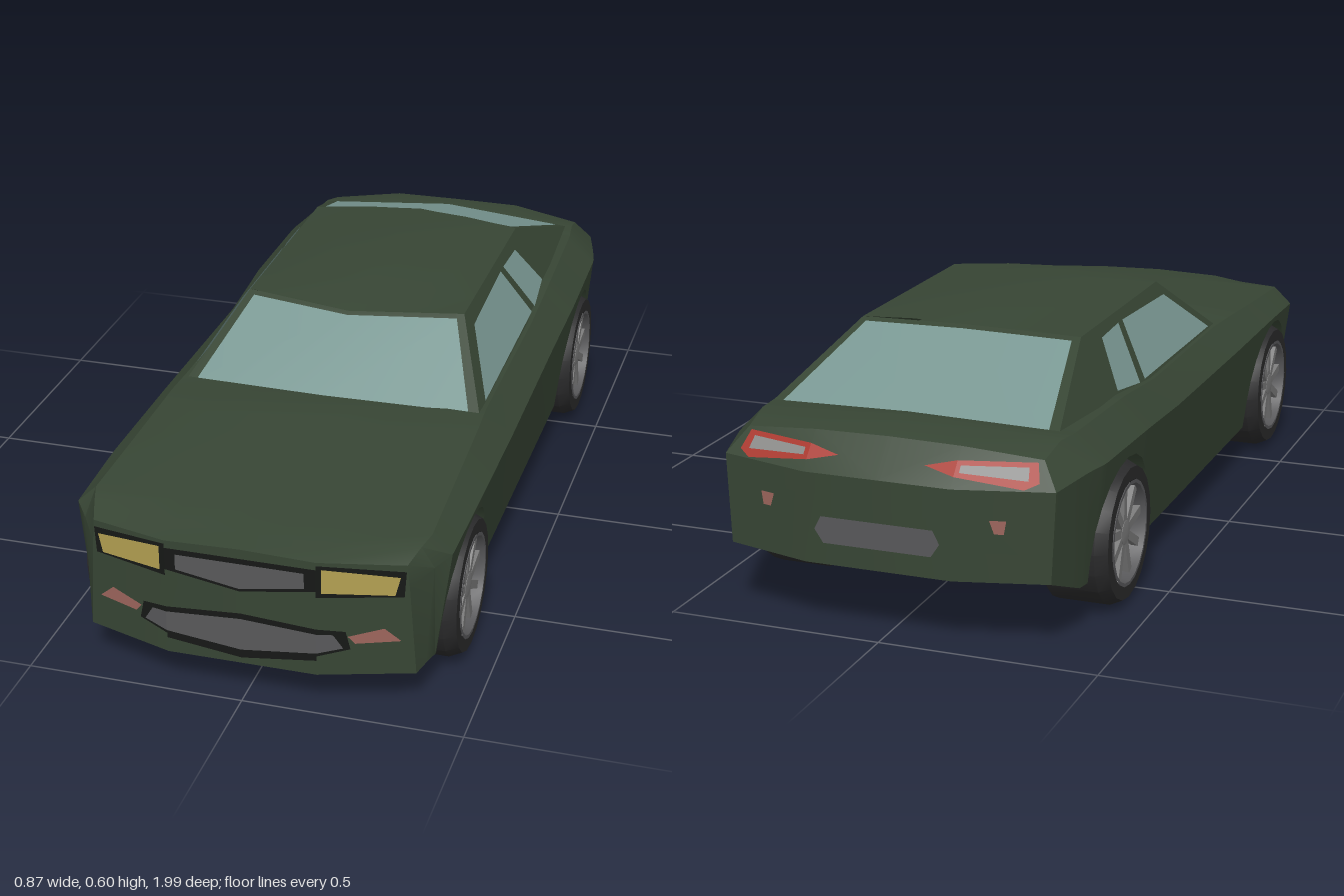
import * as THREE from 'three';
import { toCreasedNormals } from 'three/addons/utils/BufferGeometryUtils.js';

const mat = (color) => new THREE.MeshStandardMaterial({ color, side: THREE.DoubleSide });
const paint = mat(0x374534), glass = mat(0x7a9893), dark = mat(0x161816), grey = mat(0x58585a);
const tyreMat = mat(0x2a2a2b), rimMat = mat(0x7a7a7a), yellow = mat(0xb3a052);
const red = mat(0xa8382e), pink = mat(0x9c655c), lens = mat(0x8a8a88);

const WHEELS = [0.655, -0.59], ARCH = 0.178, AXLE = 0.168;

// Body stations: z, sill y, sill x, widest x, widest y, shoulder x, shoulder y, deck y, centre y, sweep, tilt
const KEYS = [
  [0.99, 0.095, 0.375, 0.36, 0.31, 0.355, 0.365, 0.375, 0.38, 0.06, 0],
  [0.93, 0.095, 0.385, 0.40, 0.335, 0.372, 0.385, 0.385, 0.388, 0.045, 0],
  [0.84, 0.095, 0.395, 0.43, 0.352, 0.385, 0.395, 0.398, 0.402, 0, 0],
  [0.62, 0.095, 0.40, 0.435, 0.36, 0.38, 0.405, 0.42, 0.425, 0, 0],
  [0.38, 0.095, 0.40, 0.435, 0.36, 0.375, 0.418, 0.44, 0.45, 0, 0],
  [0.28, 0.095, 0.40, 0.435, 0.36, 0.37, 0.42, 0.42, 0.42, 0, 0],
  [-0.22, 0.095, 0.40, 0.43, 0.36, 0.37, 0.42, 0.42, 0.42, 0, 0],
  [-0.45, 0.095, 0.40, 0.435, 0.375, 0.37, 0.44, 0.44, 0.44, 0, 0],
  [-0.75, 0.105, 0.395, 0.43, 0.38, 0.36, 0.442, 0.448, 0.452, 0, 0],
  [-0.83, 0.115, 0.395, 0.415, 0.38, 0.352, 0.445, 0.458, 0.467, -0.01, 0],
  [-0.995, 0.165, 0.375, 0.385, 0.37, 0.345, 0.425, 0.445, 0.447, -0.05, 0.07],
];

function keyAt(z) {
  let i = 0;
  while (i < KEYS.length - 2 && z < KEYS[i + 1][0]) i++;
  const a = KEYS[i], b = KEYS[i + 1], t = (z - a[0]) / (b[0] - a[0]);
  return a.map((v, k) => v + (b[k] - v) * t);
}

// Plan curve and tail slope shared by the shell and the parts on its ends
const bend = (x, y, z, sweep, tilt) =>
  z - sweep * Math.max(0, Math.abs(x) - 0.17) / 0.19 + tilt * Math.max(0, y - 0.37) / 0.077;

// Half section from the floor centre, round the side, to the top centre
function section(z, arch) {
  const [, sill, xs, xm, ym, xb, yb, yc, yt, sweep, tilt] = keyAt(z);
  const edge = Math.max(sill, arch);
  const xe = xs + (xm - xs) * Math.min(1, (edge - sill) / (ym - sill));
  return [[0, sill], [0.17, sill], [0.27, sill], [0.27, edge], [xe, edge], [xm, ym], [xb, yb], [0.17, yc], [0, yt]]
    .map(([x, y]) => [x, y, bend(x, y, z, sweep, tilt)]);
}

function mesh(name, positions, index, material, crease = 0.45) {
  let geo = new THREE.BufferGeometry();
  geo.setAttribute('position', new THREE.Float32BufferAttribute(positions.flat(), 3));
  geo.setIndex(index);
  geo = toCreasedNormals(geo, crease);
  const m = new THREE.Mesh(geo, material);
  m.name = name;
  return m;
}

function bodyShell() {
  const stations = KEYS.map((k) => [k[0], 0])
    .filter(([z]) => !WHEELS.some((c) => Math.abs(z - c) < ARCH + 0.002));
  for (const c of WHEELS) {
    stations.push([c + ARCH, 0], [c - ARCH, 0]);
    for (let i = 0; i <= 10; i++) {
      const a = Math.PI * i / 10;
      stations.push([c + ARCH * Math.cos(a) * 0.9999, AXLE + ARCH * Math.sin(a)]);
    }
  }
  stations.sort((a, b) => b[0] - a[0]);
  const pos = [], index = [], n = 16;
  for (const [z, arch] of stations) {
    const half = section(z, arch);
    pos.push(...half, ...half.slice(1, 8).reverse().map(([x, y, w]) => [-x, y, w]));
  }
  for (let s = 0; s < stations.length - 1; s++)
    for (let i = 0; i < n; i++) {
      const a = s * n + i, b = s * n + (i + 1) % n;
      index.push(a, a + n, b, b, a + n, b + n);
    }
  // Nose and tail faces
  for (const [base, key, flip] of [[0, KEYS[0], false], [(stations.length - 1) * n, KEYS.at(-1), true]]) {
    const tri = (a, b, c) => (flip ? index.push(a, c, b) : index.push(a, b, c));
    const m = pos.length;
    for (const x of [0, 0.17, -0.17]) pos.push([x, key[4], bend(x, key[4], key[0], key[9], key[10])]);
    for (const side of [1, -1]) {
      const p = (i) => base + (side > 0 ? i : (n - i) % n);
      const mid = side > 0 ? m + 1 : m + 2;
      const t = (a, b, c) => (side > 0 ? tri(a, b, c) : tri(a, c, b));
      t(p(0), p(1), mid); t(p(0), mid, m);
      t(m, mid, p(7)); t(m, p(7), p(8));
      for (const [a, b] of [[1, 2], [2, 4], [4, 5], [5, 6], [6, 7]]) t(mid, p(a), p(b));
    }
  }
  return mesh('bodyShell', pos, index, paint);
}

// Ruled grid through rows of points
function sheet(name, rows, material) {
  const n = rows[0].length, index = [];
  for (let r = 0; r < rows.length - 1; r++)
    for (let i = 0; i < n - 1; i++) {
      const a = r * n + i;
      index.push(a, a + 1, a + n, a + 1, a + n + 1, a + n);
    }
  return mesh(name, rows.flat(), index, material, 0.6);
}

// Flat outline laid on a surface; place(a, b) gives the 3D point
function panel(name, outline, place, material) {
  const tris = THREE.ShapeUtils.triangulateShape(outline.map(([a, b]) => new THREE.Vector2(a, b)), []);
  return mesh(name, outline.map(([a, b]) => place(a, b)), tris.flat(), material);
}

const mirrorX = (pts) => pts.map(([x, y, z]) => [-x, y, z]);
const lerp = (a, b, t) => a.map((v, i) => v + (b[i] - v) * t);

function cabin() {
  const g = new THREE.Group();
  g.name = 'cabin';
  const belt = [[0.36, 0.42, 0.31], [0.36, 0.42, -0.25], [0.351, 0.435, -0.45], [0.339, 0.455, -0.79]];
  const edge = [0.10, 0, -0.3, -0.46].map((z) => [0.27, 0.572, z]);
  const ridge = [[0, 0.575, 0.165], [0, 0.598, 0.03], [0, 0.60, -0.3], [0, 0.585, -0.49]];
  const mids = edge.map((e, i) => { const p = lerp(e, ridge[i], 0.5); p[1] += 0.004; return p; });
  g.add(sheet('roof', [edge, mids, ridge, mirrorX(mids), mirrorX(edge)], paint));

  // Front and rear screens with their pillars
  const screens = [
    ['windshield', belt[0], [0, 0.452, 0.38], edge[0], ridge[0]],
    ['rearWindow', belt[3], [0, 0.472, -0.82], edge[3], ridge[3]],
  ];
  for (const [name, low, lowMid, high, highMid] of screens) {
    const a = lerp(low, lowMid, 0.07), b = lerp(high, highMid, 0.07);
    const rim = lerp(highMid, lowMid, 0.05), rimSide = lerp(b, a, 0.05);
    g.add(sheet(name, [[a, lowMid, ...mirrorX([a])], [rimSide, rim, ...mirrorX([rimSide])]], glass));
    g.add(sheet(name + 'Header', [[rimSide, rim, ...mirrorX([rimSide])], [b, highMid, ...mirrorX([b])]], paint));
    for (const f of [(p) => p, mirrorX]) g.add(sheet(name + 'Pillar', [f([low, a]), f([high, b])], paint));
  }

  // Sides with door and quarter windows
  const door = [[0.255, 0.425], [0.09, 0.542], [-0.215, 0.552], [-0.265, 0.428]];
  const quarter = [[-0.245, 0.552], [-0.37, 0.548], [-0.435, 0.445], [-0.30, 0.428]];
  for (const s of [1, -1]) {
    const f = s > 0 ? (p) => p : mirrorX;
    g.add(sheet('cabinSide', [f(belt), f(edge)], paint));
    const place = (z, y) => [s * (0.365 - (y - 0.42) * 0.592), y + 0.002, z];
    g.add(panel('doorWindow', door, place, glass), panel('quarterWindow', quarter, place, glass));
  }
  return g;
}

function frontAndRear() {
  const g = new THREE.Group();
  g.name = 'lightsAndGrilles';
  const F = KEYS[0], R = KEYS.at(-1);
  const front = (d) => (x, y) => [x, y, bend(x, y, F[0], F[9], 0) + d];
  const rear = (d) => (x, y) => [x, y, bend(x, y, R[0], R[9], R[10]) - d];
  const both = (name, pts, place, material) => {
    // split at the bend line so that each piece lies on its face
    for (const s of [1, -1]) g.add(panel(name, pts.map(([x, y]) => [s * x, y]), place, material));
  };
  both('headlightFrame', [[0.17, 0.368], [0.354, 0.35], [0.35, 0.288], [0.17, 0.29]], front(0.002), dark);
  both('headlight', [[0.182, 0.36], [0.343, 0.338], [0.332, 0.294], [0.182, 0.302]], front(0.005), yellow);
  both('upperGrilleFrame', [[0, 0.358], [0.17, 0.358], [0.17, 0.305], [0, 0.277]], front(0.002), dark);
  both('upperGrille', [[0, 0.347], [0.145, 0.347], [0.145, 0.31], [0, 0.285]], front(0.005), grey);
  both('lowerGrilleFrame', [[0, 0.222], [0.17, 0.211], [0.17, 0.132], [0, 0.11]], front(0.002), dark);
  both('lowerGrilleFrameEnd', [[0.17, 0.211], [0.23, 0.204], [0.24, 0.16], [0.17, 0.143]], front(0.002), dark);
  both('lowerGrille', [[0, 0.21], [0.17, 0.2], [0.17, 0.152], [0, 0.132]], front(0.005), grey);
  both('lowerGrilleEnd', [[0.17, 0.2], [0.205, 0.198], [0.226, 0.164], [0.17, 0.152]], front(0.005), grey);
  both('fogLight', [[0.235, 0.193], [0.31, 0.212], [0.345, 0.18], [0.25, 0.175]], front(0.004), pink);
  both('tailLightTop', [[0.17, 0.421], [0.335, 0.421], [0.348, 0.385], [0.32, 0.373], [0.17, 0.392]], rear(0.003), red);
  both('tailLightTip', [[0.17, 0.421], [0.17, 0.392], [0.1, 0.406]], rear(0.003), red);
  both('tailLightLens', [[0.18, 0.413], [0.32, 0.413], [0.325, 0.389], [0.18, 0.4]], rear(0.006), lens);
  both('rearReflector', [[0.25, 0.305], [0.285, 0.305], [0.28, 0.275], [0.26, 0.275]], rear(0.004), pink);
  both('rearPlatePanel', [[0, 0.275], [0.13, 0.275], [0.145, 0.245], [0.125, 0.215], [0, 0.215]], rear(0.004), grey);
  return g;
}

function wheel(name) {
  const g = new THREE.Group();
  g.name = name;
  const lathe = (part, pts, material) => {
    const geo = new THREE.LatheGeometry(pts.map(([r, x]) => new THREE.Vector2(r, x)), 20);
    const m = new THREE.Mesh(toCreasedNormals(geo.rotateZ(-Math.PI / 2), 0.5), material);
    m.name = part;
    g.add(m);
  };
  lathe('tyre', [[0, 0.275], [0.155, 0.275], [0.165, 0.285], [0.165, 0.405], [0.152, 0.433], [0.122, 0.433], [0.114, 0.395], [0, 0.395]], tyreMat);
  lathe('rim', [[0.122, 0.435], [0.114, 0.435], [0.107, 0.4]], grey);
  lathe('hub', [[0.03, 0.398], [0.028, 0.424], [0, 0.428]], rimMat);
  for (let i = 0; i < 9; i++) {
    const spoke = new THREE.Mesh(new THREE.BoxGeometry(0.016, 0.098, 0.02).translate(0.415, 0.066, 0), rimMat);
    spoke.rotation.x = i * Math.PI * 2 / 9;
    spoke.name = 'spoke';
    g.add(spoke);
  }
  return g;
}

export function createModel() {
  const car = new THREE.Group();
  car.name = 'car';
  car.add(bodyShell(), cabin(), frontAndRear());
  WHEELS.forEach((z, i) => {
    for (const s of [1, -1]) {
      const w = wheel((i ? 'rear' : 'front') + (s > 0 ? 'Left' : 'Right') + 'Wheel');
      w.position.set(0, AXLE, z);
      if (s < 0) w.rotation.y = Math.PI;
      car.add(w);
    }
  });
  return car;
}
